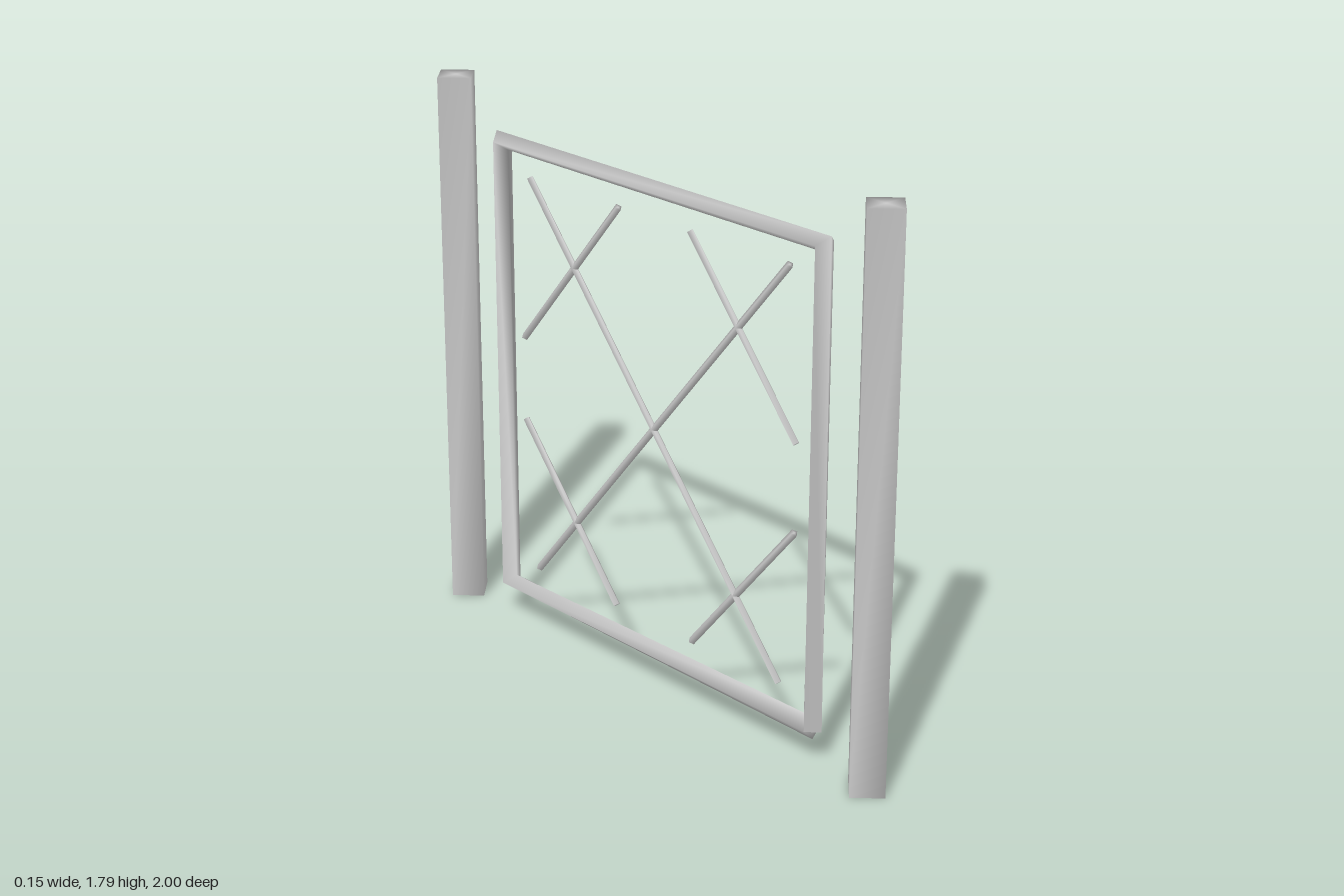
import * as THREE from 'three';
import { mergeVertices } from 'three/addons/utils/BufferGeometryUtils.js';

const material = new THREE.MeshStandardMaterial({ color: 0xcccccc });

// Four-sided bar, corners on the x and z axes, normals shared over all edges
function barGeometry(radius, length) {
  const g = new THREE.CylinderGeometry(radius, radius, length, 4);
  g.deleteAttribute('uv');
  g.deleteAttribute('normal');
  const welded = mergeVertices(g);
  welded.computeVertexNormals();
  return welded;
}

// Bar between two points of the x = 0 plane, given as [z, y]
function rod(name, [z1, y1], [z2, y2], radius) {
  const a = new THREE.Vector3(0, y1, z1);
  const b = new THREE.Vector3(0, y2, z2);
  const dir = b.clone().sub(a);
  const mesh = new THREE.Mesh(barGeometry(radius, dir.length()), material);
  mesh.position.copy(a).add(b).multiplyScalar(0.5);
  mesh.rotation.x = Math.atan2(dir.z, dir.y);
  mesh.name = name;
  return mesh;
}

// Diamond section swept round the frame; each ring lies in its corner's mitre plane
function frameGeometry(r) {
  const h = Math.SQRT1_2;
  const rings = [ // z, y, then the outward direction of the ring
    [0.7, 0.1125, 1, 0],
    [0.7, 1.627, h, h],
    [-0.7, 1.627, -h, h],
    [-0.7, 0.1125, -h, -h],
    [0.7, 0.1125, 0, -1],
  ];
  const pos = [], index = [];
  for (const [z, y, oz, oy] of rings) {
    pos.push(0, y + oy * r, z + oz * r, r, y, z, 0, y - oy * r, z - oz * r, -r, y, z);
  }
  for (let i = 0; i < rings.length - 1; i++) {
    for (let j = 0; j < 4; j++) {
      const a = i * 4 + j, b = i * 4 + (j + 1) % 4;
      index.push(a, b, a + 4, b, b + 4, a + 4);
    }
  }
  // End caps
  const e = (rings.length - 1) * 4;
  index.push(0, 2, 1, 0, 3, 2, e, e + 1, e + 2, e, e + 2, e + 3);
  const g = new THREE.BufferGeometry();
  g.setAttribute('position', new THREE.Float32BufferAttribute(pos, 3));
  g.setIndex(index);
  g.computeVertexNormals();
  return g;
}

export function createModel() {
  const model = new THREE.Group();
  model.name = 'gate';

  // Posts
  for (const s of [1, -1]) {
    model.add(rod(s > 0 ? 'frontPost' : 'backPost', [s * 0.925, 0], [s * 0.925, 1.795], 0.075));
  }

  // Frame
  const frame = new THREE.Mesh(frameGeometry(0.0375), material);
  frame.name = 'frame';
  model.add(frame);

  // Lattice rods, mirrored front to back
  const lattice = new THREE.Group();
  lattice.name = 'lattice';
  for (const s of [1, -1]) {
    lattice.add(
      rod('longRod', [s * 0.568, 1.533], [s * -0.553, 0.207], 0.0125),
      rod('upperShortRod', [s * 0.157, 1.533], [s * 0.607, 0.998], 0.0125),
      rod('lowerShortRod', [s * 0.607, 0.718], [s * 0.174, 0.207], 0.0125),
    );
  }
  model.add(lattice);
  return model;
}
